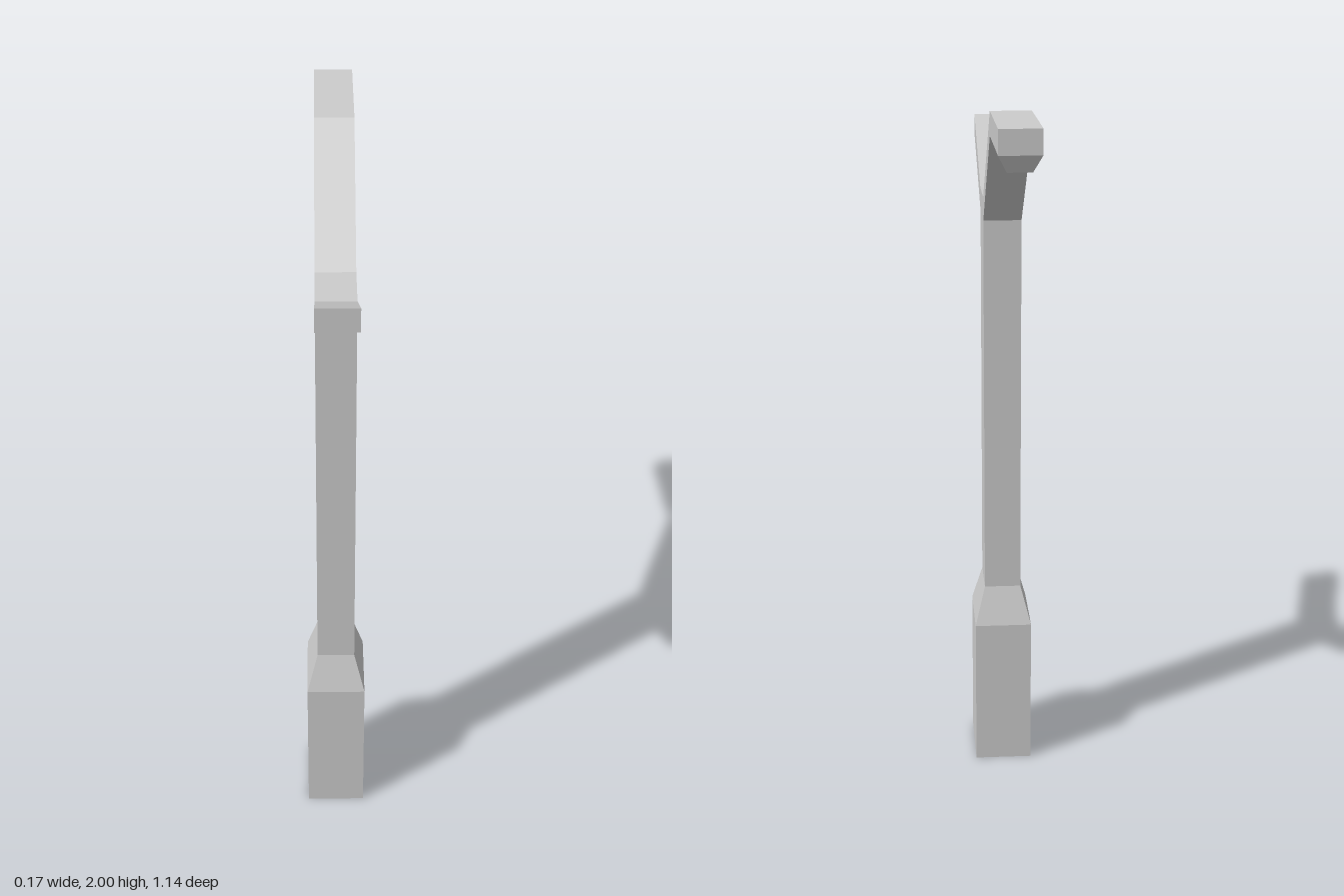
import * as THREE from 'three';

const HALF_WIDTH = 0.053;

function material() {
  return new THREE.MeshStandardMaterial({ color: 0xcccccc, flatShading: true });
}

// Box whose bottom and top rectangles differ; each is [halfX, zMin, zMax, y].
function taperedBox(name, bottom, top) {
  const geometry = new THREE.BoxGeometry(1, 1, 1);
  const p = geometry.attributes.position;
  for (let i = 0; i < p.count; i++) {
    const [halfX, zMin, zMax, y] = p.getY(i) > 0 ? top : bottom;
    p.setXYZ(i, Math.sign(p.getX(i)) * halfX, y, p.getZ(i) > 0 ? zMax : zMin);
  }
  geometry.computeVertexNormals();
  const mesh = new THREE.Mesh(geometry, material());
  mesh.name = name;
  return mesh;
}

// Side profile given as [z, y] points, extruded across the width.
function sideExtrusion(name, points) {
  const shape = new THREE.Shape(points.map(([z, y]) => new THREE.Vector2(z, y)));
  const geometry = new THREE.ExtrudeGeometry(shape, { depth: 2 * HALF_WIDTH, bevelEnabled: false });
  geometry.translate(0, 0, -HALF_WIDTH);
  geometry.rotateY(-Math.PI / 2);
  const mesh = new THREE.Mesh(geometry, material());
  mesh.name = name;
  return mesh;
}

export function createModel() {
  const group = new THREE.Group();
  group.name = 'lampPost';

  // Wide foot and the shoulder narrowing to the pole
  const foot = [0.083, 0.055, 0.275];
  const pole = [HALF_WIDTH, 0.092, 0.24];
  group.add(taperedBox('base', [...foot, 0], [...foot, 0.445]));
  group.add(taperedBox('baseShoulder', [...foot, 0.445], [...pole, 0.557]));

  // Pole with a short front arm and a long rear arm ending in the lamp head
  group.add(sideExtrusion('poleAndArms', [
    [0.092, 0.557], [0.24, 0.557], [0.24, 1.66],
    [0.57, 1.827], [0.57, 1.89], [0.245, 1.725],
    [0.095, 1.725], [-0.237, 2], [-0.57, 2],
    [-0.57, 1.938], [-0.237, 1.938], [0.092, 1.66],
  ]));

  // Tapered lamp cover under the head
  group.add(taperedBox('lampCover',
    [0.031, -0.547, -0.26, 1.895],
    [HALF_WIDTH, -0.57, -0.237, 1.938]));

  return group;
}
